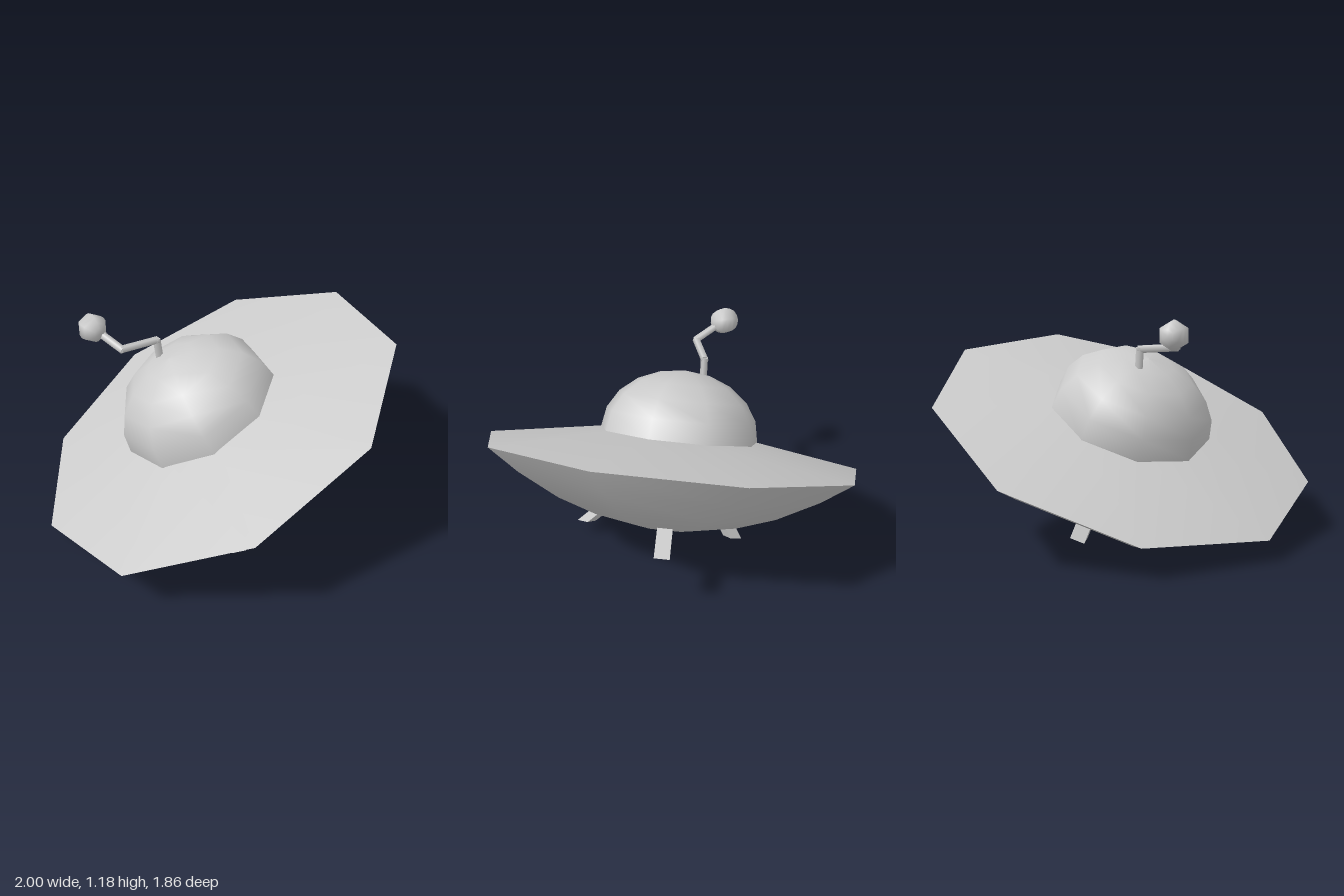
import * as THREE from 'three';

const SIDES = 9;
const RIM = 1.043;

export function createModel() {
  const model = new THREE.Group();
  model.name = 'flyingSaucer';
  const material = new THREE.MeshStandardMaterial({ color: 0xcccccc, side: THREE.DoubleSide });

  const add = (parent, geometry, name) => {
    const mesh = new THREE.Mesh(geometry, material);
    mesh.name = name;
    parent.add(mesh);
    return mesh;
  };
  const lathe = (points) =>
    new THREE.LatheGeometry(points.map(([r, y]) => new THREE.Vector2(r, y)), SIDES);

  // Tilted body frame: y along the saucer axis, z through a rim corner
  const body = new THREE.Group();
  body.name = 'body';
  const up = new THREE.Vector3(-0.198, 0.893, 0.405).normalize();
  const right = up.clone().cross(new THREE.Vector3(-0.213, -0.444, 0.871)).normalize();
  const forward = right.clone().cross(up);
  body.quaternion.setFromRotationMatrix(new THREE.Matrix4().makeBasis(right, up, forward));
  body.position.set(0.021, 0.568, 0.012);
  model.add(body);

  // Shallow flat-bottomed bowl and low cone on top, meeting in a sharp rim
  const bowl = [0.23, 0.41, 0.62, 0.84, 1].map((k) => [k * RIM, -0.4 * (1 - k * k)]);
  add(body, lathe([[0, bowl[0][1]], ...bowl]), 'hull');
  add(body, lathe([[RIM, 0], [0.42, 0.105], [0, 0.12]]), 'deck');

  // Flattened dome
  const domeProfile = [[0.438, -0.02]];
  for (let i = 0; i <= 5; i++) {
    const a = (i / 5) * Math.PI / 2;
    domeProfile.push([0.438 * Math.cos(a), 0.35 * Math.sin(a)]);
  }
  add(body, lathe(domeProfile), 'dome').position.set(-0.021, 0.103, 0.028);

  // Three slanted legs, cut parallel to the rim: angle round the axis, tip radius, splay
  for (const [angle, radius, splay] of [[-60, 0.44, 35], [60, 0.525, 48], [180, 0.49, 50]]) {
    const mount = new THREE.Group();
    mount.name = 'legMount';
    mount.rotation.y = THREE.MathUtils.degToRad(angle);
    body.add(mount);
    const slant = -Math.tan(THREE.MathUtils.degToRad(splay));
    const geometry = new THREE.BoxGeometry(0.08, 0.19, 0.07)
      .translate(0, 0.095, 0)
      .applyMatrix4(new THREE.Matrix4().makeShear(0, 0, 0, slant, 0, 0));
    add(mount, geometry, 'leg').position.set(0, -0.465, radius);
  }

  // Bent antenna with a six-sided ball at its end
  const antenna = new THREE.Group();
  antenna.name = 'antenna';
  model.add(antenna);
  const path = [[-0.19, 0.86, 0.2], [-0.2, 1.015, 0.215], [-0.205, 1.03, 0.42], [-0.38, 1.097, 0.485]]
    .map((p) => new THREE.Vector3(...p));
  for (let i = 0; i < 3; i++) {
    const span = path[i + 1].clone().sub(path[i]);
    const geometry = new THREE.CylinderGeometry(0.021, 0.021, span.length() + 0.015, 5);
    const rod = add(antenna, geometry, 'antennaRod');
    rod.position.copy(path[i]).addScaledVector(span, 0.5);
    rod.quaternion.setFromUnitVectors(new THREE.Vector3(0, 1, 0), span.normalize());
  }
  const ball = new THREE.SphereGeometry(0.077, 6, 8).rotateZ(Math.PI / 2);
  add(antenna, ball, 'antennaBall').position.copy(path[3]);

  return model;
}
